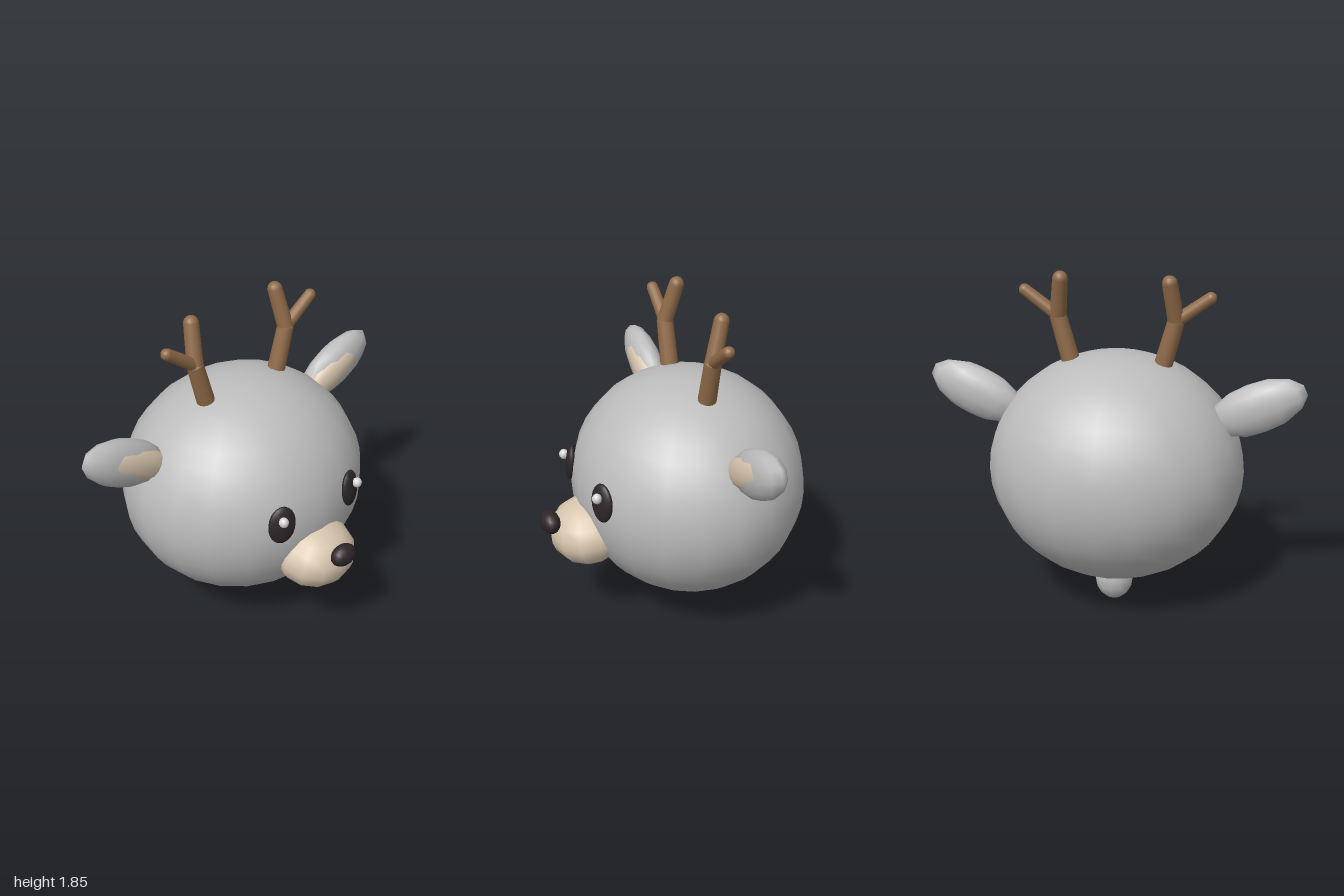
import * as THREE from 'three';

const mat = (name, color) => {
  const m = new THREE.MeshStandardMaterial({ color });
  m.name = name;
  return m;
};

export function createModel() {
  const fur = mat('grey fur', 0xbcbcbc);
  const cream = mat('cream', 0xd8c6ae);
  const dark = mat('dark brown', 0x2e2628);
  const brown = mat('antler brown', 0x8f6a48);
  const shine = mat('eye shine', 0xd8d8d8);

  const root = new THREE.Group();
  root.name = 'deerHead';

  // Scaled sphere: centre, radii, rotation, segments
  function ball(name, material, p, r, rot = [0, 0, 0], w = 12, h = 8) {
    const mesh = new THREE.Mesh(new THREE.SphereGeometry(1, w, h), material);
    mesh.name = name;
    mesh.position.set(...p);
    mesh.scale.set(...r);
    mesh.rotation.set(...rot);
    root.add(mesh);
  }

  // Rod between two points, flat or rounded at its end
  function rod(name, a, b, r0, r1, round) {
    const from = new THREE.Vector3(...a), to = new THREE.Vector3(...b);
    const dir = to.clone().sub(from), len = dir.length();
    const profile = [new THREE.Vector2(0, 0), new THREE.Vector2(r0, 0), new THREE.Vector2(r0, 0)];
    for (let i = 0; i <= 5; i++) {
      const t = (i / 5) * Math.PI / 2;
      profile.push(new THREE.Vector2(r1 * Math.cos(t), len + (round ? r1 * Math.sin(t) : r1 * 0.5 * Math.sin(t))));
    }
    const mesh = new THREE.Mesh(new THREE.LatheGeometry(profile, 14), brown);
    mesh.name = name;
    mesh.position.copy(from);
    mesh.quaternion.setFromUnitVectors(new THREE.Vector3(0, 1, 0), dir.normalize());
    root.add(mesh);
  }

  // Head, muzzle, nose and tail
  ball('head', fur, [0, 0.78, -0.11], [0.7, 0.63, 0.645], [0, 0, 0], 20, 20);
  ball('muzzle', cream, [0, 0.573, 0.49], [0.232, 0.178, 0.21], [0.2, 0, 0], 12, 10);
  ball('nose', dark, [0, 0.668, 0.702], [0.08, 0.062, 0.053], [0, 0, 0], 14, 10);
  ball('tail', fur, [0, 0.13, -0.195], [0.107, 0.128, 0.086], [0, 0, 0], 12, 8);

  for (const s of [1, -1]) {
    const side = s > 0 ? 'left' : 'right';

    // Eyes
    ball(side + 'Eye', dark, [0.25 * s, 0.872, 0.488], [0.077, 0.11, 0.032], [-0.08, 0.36 * s, 0.09 * s], 16, 12);
    ball(side + 'EyeShine', shine, [0.27 * s, 0.917, 0.523], [0.027, 0.029, 0.027], [0, 0, 0], 10, 8);

    // Ears
    const tilt = [0, 0, 0.43 * s];
    ball(side + 'Ear', fur, [0.762 * s, 1.167, -0.165], [0.28, 0.137, 0.088], tilt, 12, 7);
    ball(side + 'InnerEar', cream, [0.71 * s, 1.153, -0.125], [0.242, 0.09, 0.054], tilt, 12, 7);

    // Antlers
    const fork = [0.318 * s, 1.6, -0.11];
    rod(side + 'AntlerStem', [0.254 * s, 1.365, -0.11], fork, 0.05, 0.046, false);
    rod(side + 'AntlerUpperTine', fork, [0.29 * s, 1.814, -0.167], 0.045, 0.041, true);
    rod(side + 'AntlerSideTine', fork, [0.498 * s, 1.732, -0.11], 0.036, 0.032, true);
  }
  return root;
}
